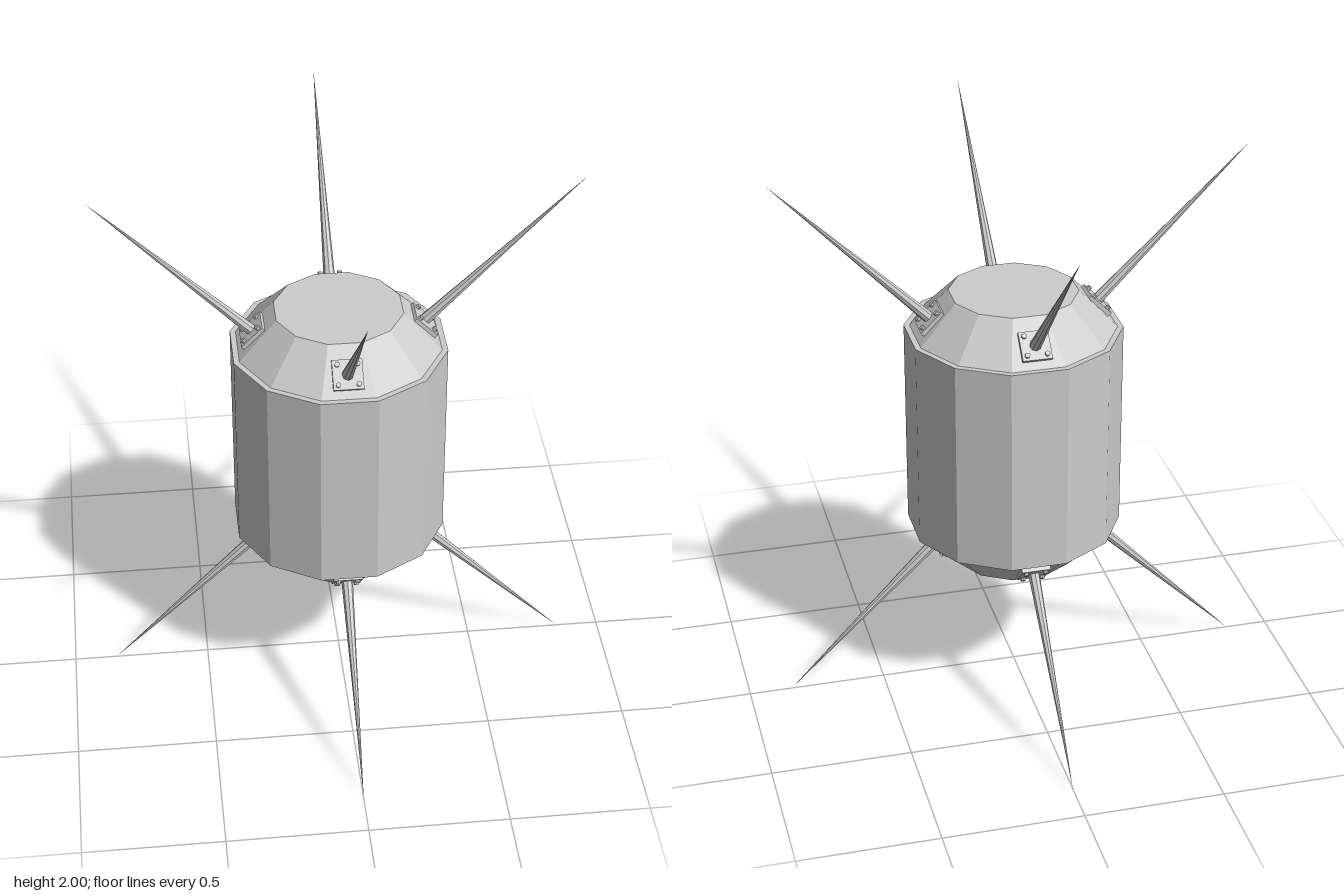
import * as THREE from 'three';

const SIDES = 12;
const material = new THREE.MeshStandardMaterial({ color: 0xcccccc, flatShading: true });

function add(parent, name, geometry) {
  const mesh = new THREE.Mesh(geometry, material);
  mesh.name = name;
  parent.add(mesh);
  return mesh;
}

// Twelve-sided shell with flats on the x and z axes; profile holds [apothem, y] from bottom to top
function shell(profile) {
  const k = 1 / Math.cos(Math.PI / SIDES);
  const points = profile.map(([a, y]) => new THREE.Vector2(a * k, y));
  return new THREE.LatheGeometry(points, SIDES, Math.PI / SIDES);
}

// Bolted plate with a long spike, pointing along its own +y
function createSpikeMount(length) {
  const mount = new THREE.Group();
  add(mount, 'mountPlate', new THREE.BoxGeometry(0.104, 0.022, 0.104)).position.y = 0.003;
  for (const x of [-1, 1]) {
    for (const z of [-1, 1]) {
      add(mount, 'bolt', new THREE.CylinderGeometry(0.009, 0.009, 0.016, 8))
        .position.set(x * 0.035, 0.016, z * 0.035);
    }
  }
  add(mount, 'spike', new THREE.ConeGeometry(0.021, length, 8)).position.y = length / 2;
  return mount;
}

export function createModel() {
  const model = new THREE.Group();
  model.name = 'spikedDrum';

  // Body: drum with a small shoulder at each end
  add(model, 'drum', shell([[0, 0.621], [0.372, 0.621], [0.372, 1.39], [0, 1.39]]));
  add(model, 'topCap', shell([[0.352, 1.39], [0.22, 1.528], [0, 1.528]]));
  // Bottom cap has a shallow recess
  add(model, 'bottomCap', shell([[0, 0.513], [0.197, 0.513], [0.2, 0.483], [0.22, 0.483], [0.352, 0.621]]));

  // Four spikes around each sloped cap
  const rings = [
    { name: 'upperSpike', y: 1.45, r: 0.295, tilt: Math.PI / 4, length: 0.778 },
    { name: 'lowerSpike', y: 0.556, r: 0.29, tilt: Math.PI * 3 / 4, length: 0.786 },
  ];
  for (const ring of rings) {
    ['Front', 'Left', 'Back', 'Right'].forEach((side, i) => {
      const arm = new THREE.Group();
      arm.name = ring.name + side;
      arm.rotation.y = i * Math.PI / 2;
      const mount = createSpikeMount(ring.length);
      mount.name = 'spikeMount';
      mount.position.set(0, ring.y, ring.r);
      mount.rotation.x = ring.tilt;
      arm.add(mount);
      model.add(arm);
    });
  }
  return model;
}
